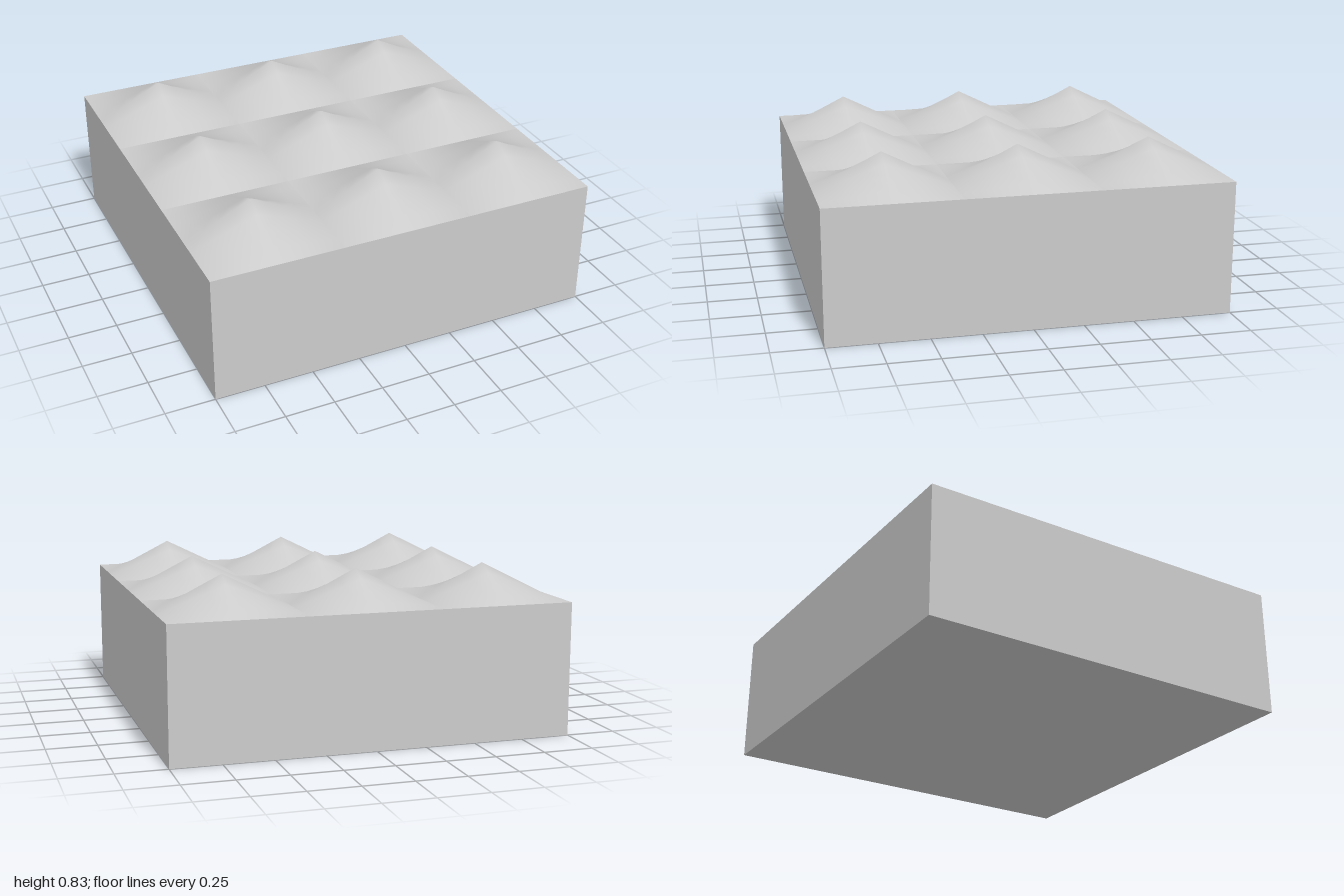
import * as THREE from 'three';

const BASE_H = 0.667, PEAK_H = 0.166, CELLS = 3, CELL = 2 / CELLS, SEGMENTS = 8;

// One square tile that rises in straight ridges to a central peak and is flat at its border.
function bumpGeometry() {
  const geo = new THREE.PlaneGeometry(CELL, CELL, SEGMENTS, SEGMENTS).rotateX(-Math.PI / 2);
  const pos = geo.attributes.position;
  const tent = (v) => Math.max(0, 1 - Math.abs(v) / (CELL / 2));
  for (let i = 0; i < pos.count; i++) {
    pos.setY(i, PEAK_H * tent(pos.getX(i)) * tent(pos.getZ(i)));
  }
  geo.computeVertexNormals(); // smooth inside the tile, creased between tiles
  return geo;
}

// Block without its top face, which the tiles cover.
function baseGeometry() {
  const geo = new THREE.BoxGeometry(2, BASE_H, 2).translate(0, BASE_H / 2, 0);
  const index = Array.from(geo.index.array);
  index.splice(12, 6);
  geo.setIndex(index);
  geo.clearGroups();
  return geo;
}

export function createModel() {
  const model = new THREE.Group();
  model.name = 'studdedBlock';
  const material = new THREE.MeshStandardMaterial({ color: 0xcccccc });

  const base = new THREE.Mesh(baseGeometry(), material);
  base.name = 'base';
  model.add(base);

  // Three by three grid of peaked tiles
  const bumps = new THREE.Group();
  bumps.name = 'topBumps';
  const bump = bumpGeometry();
  for (let row = 0; row < CELLS; row++) {
    for (let col = 0; col < CELLS; col++) {
      const tile = new THREE.Mesh(bump, material);
      tile.name = 'bump';
      tile.position.set((col - 1) * CELL, BASE_H, (row - 1) * CELL);
      bumps.add(tile);
    }
  }
  model.add(bumps);
  return model;
}
